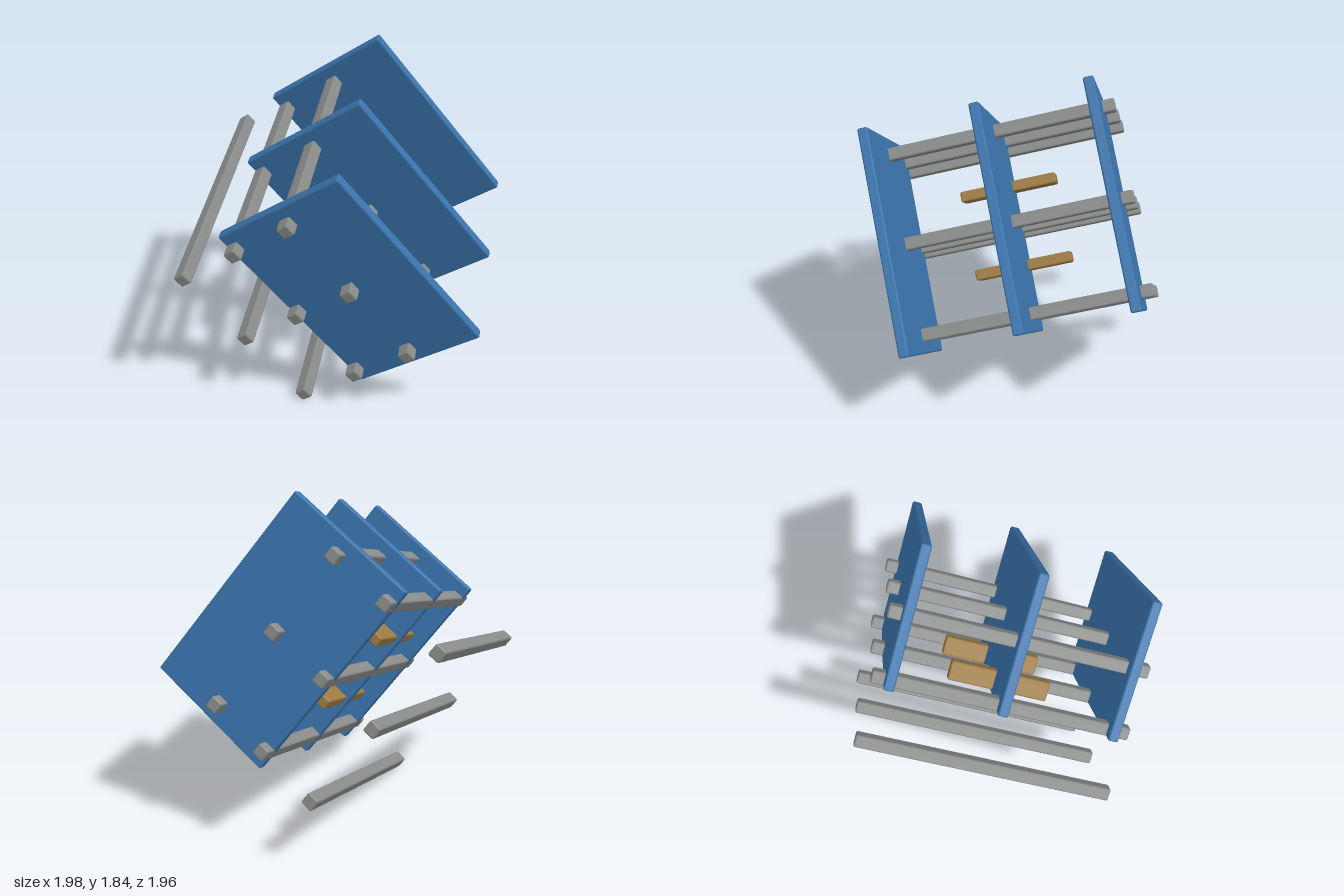
import * as THREE from 'three';
import { RoundedBoxGeometry } from 'three/addons/geometries/RoundedBoxGeometry.js';

export function createModel() {
  const blue = new THREE.MeshStandardMaterial({ color: 0x3a74ad });
  blue.name = 'panelBlue';
  const grey = new THREE.MeshStandardMaterial({ color: 0x888b89 });
  grey.name = 'barGrey';
  const ochre = new THREE.MeshStandardMaterial({ color: 0x9c7a42 });
  ochre.name = 'blockOchre';

  const model = new THREE.Group();
  model.name = 'tiltedRack';

  // The rack is built square (x along the bars, y and z across the panels), then tilted.
  const rack = new THREE.Group();
  rack.name = 'rack';
  const along = new THREE.Vector3(0.802, 0.248, -0.543).normalize();
  const across = new THREE.Vector3(0.496, -0.79, 0.361);
  across.addScaledVector(along, -across.dot(along)).normalize();
  const depth = new THREE.Vector3().crossVectors(along, across);
  rack.quaternion.setFromRotationMatrix(new THREE.Matrix4().makeBasis(along, across, depth));
  rack.position.set(0.075, 1.013, 0.142);
  model.add(rack);

  const addBox = (name, size, position, material) => {
    const mesh = new THREE.Mesh(new RoundedBoxGeometry(...size, 1, 0.01), material);
    mesh.name = name;
    mesh.position.set(...position);
    rack.add(mesh);
  };

  // Three parallel panels
  for (const x of [-0.595, 0, 0.595]) addBox('panel', [0.055, 1.2, 0.77], [x, 0, 0], blue);

  // Nine long bars: two rows pass through the panels, one row lies free behind them
  for (const y of [-0.5, 0, 0.5]) {
    for (const z of [0, 0.35, 0.705]) {
      addBox(z > 0.5 ? 'freeBar' : 'crossBar', [1.38, 0.07, 0.07], [0, y, z], grey);
    }
  }

  // Two short blocks through the middle panel
  for (const y of [-0.225, 0.225]) addBox('shortBlock', [0.55, 0.06, 0.11], [0, y, 0.31], ochre);

  return model;
}
